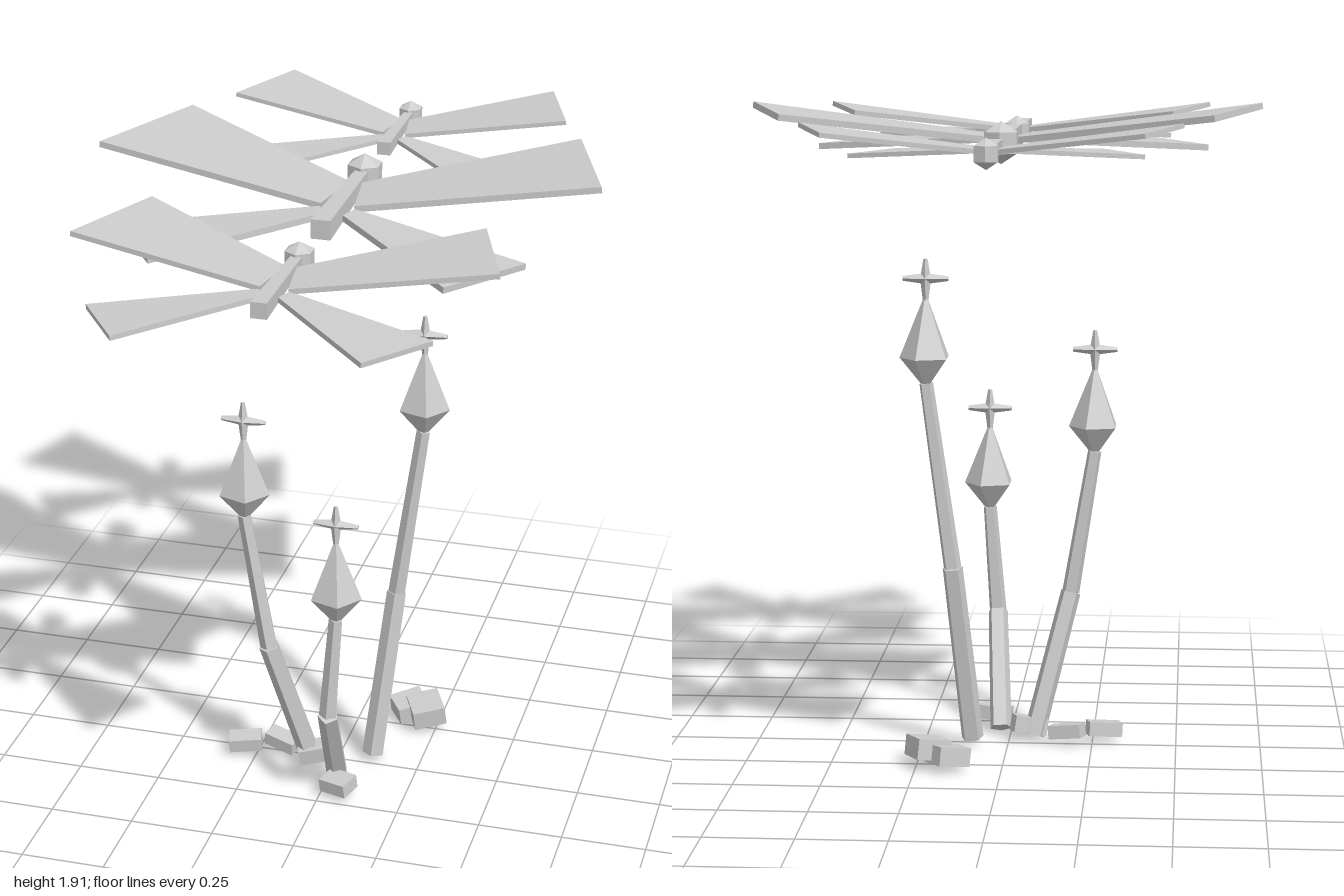
import * as THREE from 'three';

export function createModel() {
  const model = new THREE.Group();
  const grey = new THREE.MeshStandardMaterial({ color: 0xcccccc, flatShading: true });
  grey.name = 'light grey';

  function add(parent, name, geometry) {
    const mesh = new THREE.Mesh(geometry, grey);
    mesh.name = name;
    parent.add(mesh);
    return mesh;
  }

  // Tapered prism running between two points
  function strut(parent, name, from, to, r0, r1, sides, start = 0) {
    const a = new THREE.Vector3(...from), b = new THREE.Vector3(...to);
    const dir = b.clone().sub(a);
    const mesh = add(parent, name, new THREE.CylinderGeometry(r1, r0, dir.length(), sides, 1, false, start));
    mesh.position.copy(a).add(b).multiplyScalar(0.5);
    mesh.quaternion.setFromUnitVectors(new THREE.Vector3(0, 1, 0), dir.normalize());
    return mesh;
  }

  // Flat wing outline in x and z, tilted up or down from the body
  function wing(parent, name, points, side, slope) {
    const shape = new THREE.Shape(points.map(([x, z]) => new THREE.Vector2(x * side, z)));
    const geo = new THREE.ExtrudeGeometry(shape, { depth: 0.018, bevelEnabled: false });
    geo.rotateX(Math.PI / 2).translate(0, 0.009, 0);
    const mesh = add(parent, name, geo);
    mesh.rotation.z = side * Math.atan(slope);
  }

  const foreWing = [[0.02, -0.2], [0.597, -0.517], [0.737, -0.08], [0.05, 0.005]];
  const hindWing = [[0.05, 0], [0.58, 0.2], [0.41, 0.45], [0.03, 0.06]];

  // Flying insects, heads towards the back
  [[0.63, 0.8], [0, 1], [-0.645, 0.7]].forEach(([z, size]) => {
    const insect = new THREE.Group();
    insect.name = 'insect';
    for (const side of [1, -1]) {
      wing(insect, 'foreWing', foreWing, side, 0.135);
      wing(insect, 'hindWing', hindWing, side, -0.06);
    }
    const body = new THREE.CylinderGeometry(0.04, 0.027, 0.45, 4, 1, false, Math.PI / 4);
    body.rotateX(Math.PI / 2).translate(0, 0.005, -0.045);
    add(insect, 'body', body);
    const head = add(insect, 'head', new THREE.SphereGeometry(0.06, 6, 3));
    head.rotation.y = Math.PI / 6;
    head.position.set(0, 0.003, -0.3);
    insect.position.set(0, 1.803, z);
    insect.scale.setScalar(size);
    model.add(insect);
  });

  // Plants: base, bend and underside of the bud
  const plants = [
    [[-0.075, 0.02, 0.035], [-0.18, 0.44, 0.12], [-0.25, 0.87, 0.12]],
    [[0.03, 0.02, 0.11], [0.052, 0.34, 0.3], [0.076, 0.665, 0.3]],
    [[0.105, 0.025, -0.03], [0.157, 0.555, -0.105], [0.232, 1.1, -0.105]],
  ];
  for (const [base, bend, top] of plants) {
    const plant = new THREE.Group();
    plant.name = 'plant';
    strut(plant, 'lowerStem', base, bend, 0.034, 0.031, 5);
    strut(plant, 'upperStem', bend, top, 0.027, 0.021, 5);

    const bud = new THREE.Group();
    bud.name = 'bud';
    bud.position.set(...top);
    const q = Math.PI / 2;
    strut(bud, 'budBase', [0, 0, 0], [0, 0.075, 0], 0.016, 0.077, 5, q);
    strut(bud, 'budTip', [0, 0.075, 0], [0, 0.245, 0], 0.077, 0.008, 5, q);
    // Star-shaped stigma on top
    strut(bud, 'starLower', [0, 0.24, 0], [0, 0.305, 0], 0.008, 0.016, 4);
    strut(bud, 'starUpper', [0, 0.305, 0], [0, 0.362, 0], 0.016, 0.006, 4);
    for (const side of [1, -1]) {
      strut(bud, 'starArm', [0, 0.305, 0], [0.066 * side, 0.305, 0], 0.016, 0.007, 4);
    }
    plant.add(bud);
    model.add(plant);
  }

  // Stones on the ground: position, size, turn, tilt
  const stones = [
    [[-0.285, 0.043, 0.035], [0.1, 0.042, 0.06], 0.25, 0.05],
    [[-0.175, 0.042, 0], [0.1, 0.04, 0.055], -0.3, -0.1],
    [[-0.06, 0.048, 0.045], [0.1, 0.05, 0.06], 0.3, 0.15],
    [[0.055, 0.045, 0.2], [0.09, 0.042, 0.07], -0.35, 0.1],
    [[0.215, 0.058, -0.27], [0.1, 0.06, 0.11], 0.45, 0.1],
    [[0.155, 0.045, -0.3], [0.1, 0.055, 0.09], 0.6, 0.1],
  ];
  for (const [position, size, turn, tilt] of stones) {
    const stone = add(model, 'stone', new THREE.BoxGeometry(...size));
    stone.position.set(...position);
    stone.rotation.set(0.1, turn, tilt);
  }
  return model;
}
